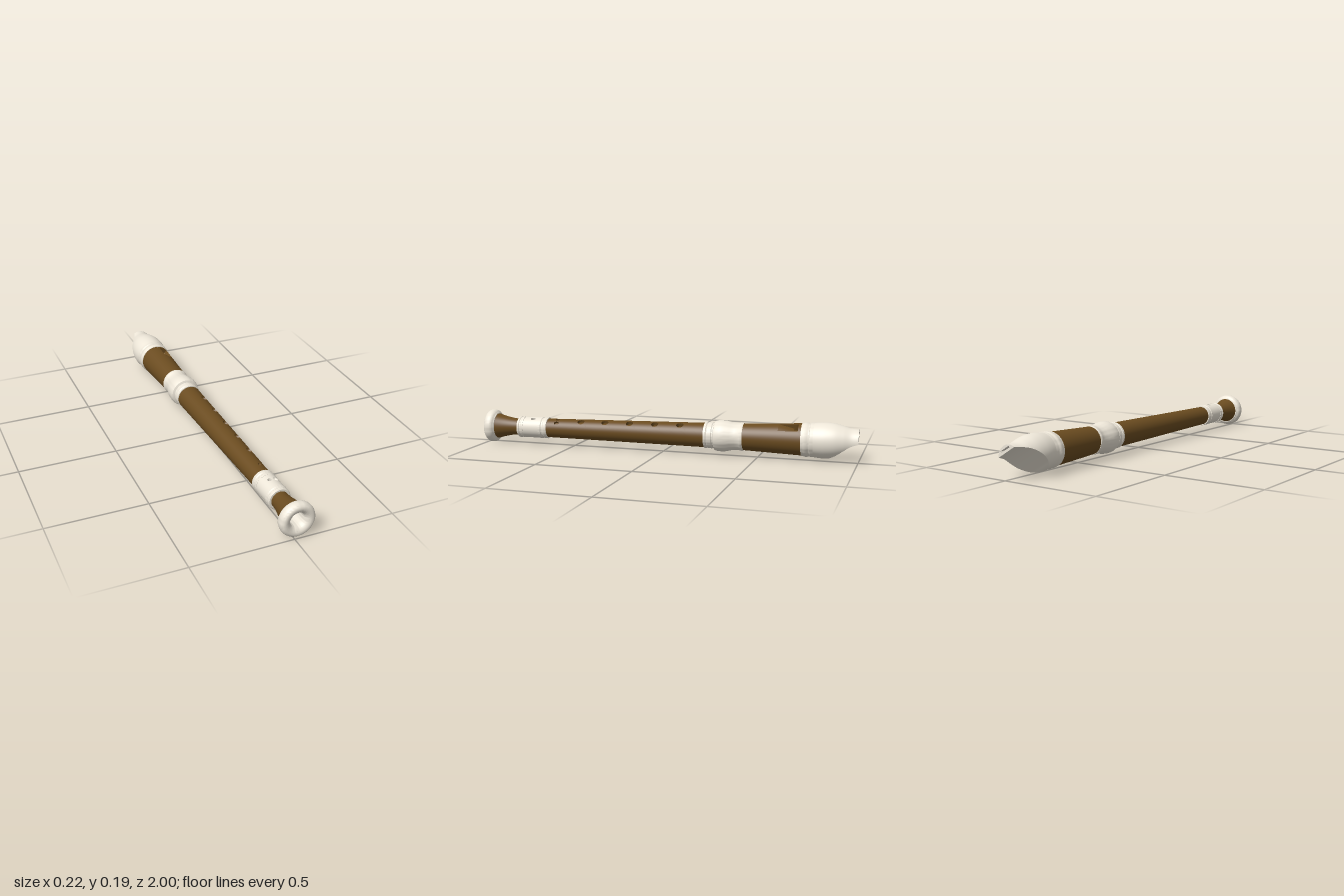
import * as THREE from 'three';
import { toCreasedNormals } from 'three/addons/utils/BufferGeometryUtils.js';
import { ParametricGeometry } from 'three/addons/geometries/ParametricGeometry.js';

const wood = new THREE.MeshStandardMaterial({ color: 0x6b4c20 });
const ivory = new THREE.MeshStandardMaterial({ color: 0xede6d8 });
const twoSided = (m) => { const c = m.clone(); c.side = THREE.DoubleSide; return c; };
const woodThin = twoSided(wood), ivoryThin = twoSided(ivory);
const lerp = THREE.MathUtils.lerp;

function add(parent, name, geometry, material) {
  const mesh = new THREE.Mesh(geometry, material);
  mesh.name = name;
  parent.add(mesh);
  return mesh;
}

// Turned part from [z, radius] pairs along the instrument's axis
function turned(profile, start = 0, length = Math.PI * 2) {
  const g = new THREE.LatheGeometry(profile.map(([z, r]) => new THREE.Vector2(r, z)), 64, start, length);
  return g.rotateX(Math.PI / 2);
}
const creased = (profile) => toCreasedNormals(turned(profile), 0.6);

// Point at angle a from the top (towards +x), radius r
const polar = (target, a, r, z) => target.set(r * Math.sin(a), r * Math.cos(a), z);

// Tapered pipe with real holes along its top. Each row: { z, h, holes: [{ w, l, square }] }
function pipe(parent, name, material, thin, [z0, r0], [z1, r1], bore, rows) {
  const group = new THREE.Group();
  group.name = name;
  parent.add(group);
  const half = 0.6;
  const radius = (z) => lerp(r0, r1, (z - z0) / (z1 - z0));
  add(group, name + 'Wall', turned([[z0, r0], [z1, r1]], Math.PI + half, 2 * (Math.PI - half)), material);

  const strip = (a, b) => add(group, name + 'Strip', new ParametricGeometry((u, v, p) => {
    const z = lerp(a, b, u);
    polar(p, lerp(-half, half, v), radius(z), z);
  }, 2, 16), material);

  let from = z0;
  for (const { z, h, holes } of rows) {
    strip(from, z - h);
    from = z + h;
    const cell = half / holes.length;
    holes.forEach(({ w, l, square }, i) => {
      const mid = -half + cell * (2 * i + 1);
      // Blend from the hole's edge (s = 0) to the rectangular cell border (s = 1)
      const at = (s, v) => {
        const t = -v * Math.PI * 2, c = Math.cos(t), d = Math.sin(t);
        const k = 1 / Math.max(Math.abs(c), Math.abs(d)), e = square ? k : 1;
        return [mid + c * lerp(e * w / radius(z), k * cell, s), z + d * lerp(e * l, k * h, s)];
      };
      add(group, 'holeSurround', new ParametricGeometry((u, v, p) => {
        const [a, q] = at(u, v);
        polar(p, a, radius(q), q);
      }, 4, 40), material);
      add(group, 'holeWall', new ParametricGeometry((u, v, p) => {
        const [a, q] = at(0, v);
        polar(p, a, lerp(radius(q), bore, u), q);
      }, 2, 40), thin);
    });
  }
  strip(from, z1);
  return radius;
}

function buildBeak(parent) {
  const beak = new THREE.Group();
  beak.name = 'beak';
  parent.add(beak);
  // Stations: radius, height of the cut underneath, z
  const path = new THREE.CatmullRomCurve3([
    [0.086, -0.086, -0.78], [0.0895, -0.0895, -0.815], [0.09, -0.064, -0.845], [0.086, -0.03, -0.885],
    [0.076, 0, -0.925], [0.065, 0.02, -0.963], [0.062, 0.03, -1],
  ].map((s) => new THREE.Vector3(...s)));
  const station = (t) => {
    const { x: r, y: cut, z } = path.getPoint(t);
    return { r, z, a: Math.acos(THREE.MathUtils.clamp(cut / r, -0.9999, 1)) };
  };
  add(beak, 'beakTop', new ParametricGeometry((u, v, p) => {
    const { r, z, a } = station(v);
    polar(p, lerp(-a, a, u), r, z);
  }, 56, 40), ivory);
  add(beak, 'beakCut', new ParametricGeometry((u, v, p) => {
    const { r, z, a } = station(u);
    p.set(lerp(-1, 1, v) * r * Math.sin(a), r * Math.cos(a), z);
  }, 40, 8), ivory);

  // Tip with the windway slot
  const { r, a } = station(1);
  const tip = new THREE.Shape();
  tip.absarc(0, 0, r, Math.PI / 2 - a, Math.PI / 2 + a, false);
  tip.closePath();
  const slot = new THREE.Path();
  slot.moveTo(-0.028, 0.041).lineTo(-0.028, 0.049).lineTo(0.028, 0.049).lineTo(0.028, 0.041).closePath();
  tip.holes.push(slot);
  add(beak, 'beakTip', new THREE.ShapeGeometry(tip, 24).rotateY(Math.PI).translate(0, 0, -1), ivory);
  const inside = ivory.clone();
  inside.side = THREE.BackSide;
  add(beak, 'windway', new THREE.BoxGeometry(0.056, 0.008, 0.06), inside).position.set(0, 0.045, -0.97);
}

export function createModel() {
  const model = new THREE.Group();
  model.name = 'recorder';
  // The axis lies slightly askew
  const axis = new THREE.Group();
  axis.name = 'instrument';
  axis.position.set(-0.004, 0.0957, 0);
  axis.rotation.set(0.0072, 0.024, 0);
  model.add(axis);

  // Head and body are rolled towards +x, the foot less so
  const upper = new THREE.Group(), foot = new THREE.Group();
  upper.name = 'headAndBody';
  foot.name = 'foot';
  upper.rotation.z = -0.56;
  foot.rotation.z = -0.15;
  axis.add(upper, foot);

  // Head: beak, collar, window with sloping lip
  buildBeak(upper);
  add(upper, 'headCollar', creased([
    [-0.785, 0.07], [-0.785, 0.086], [-0.765, 0.087], [-0.761, 0.083], [-0.755, 0.083], [-0.75, 0.086],
    [-0.735, 0.086], [-0.73, 0.083], [-0.72, 0.083], [-0.72, 0.07],
  ]), ivory);
  const headRadius = pipe(upper, 'head', wood, woodThin, [-0.725, 0.081], [-0.42, 0.068], 0.045,
    [{ z: -0.655, h: 0.06, holes: [{ w: 0.026, l: 0.05, square: true }] }]);
  add(upper, 'windowLip', new ParametricGeometry((u, v, p) => {
    const z = lerp(-0.605, -0.682, u), w = 0.026 / headRadius(-0.655);
    polar(p, lerp(-w, w, v), lerp(headRadius(z), 0.056, u), z);
  }, 4, 8), woodThin);
  add(upper, 'block', new THREE.CircleGeometry(0.06, 48), ivory).position.z = -0.7;

  // Middle joint
  add(upper, 'middleJoint', creased([
    [-0.425, 0.06], [-0.425, 0.07], [-0.42, 0.072], [-0.41, 0.072], [-0.405, 0.069], [-0.385, 0.069],
    [-0.36, 0.072], [-0.335, 0.0785], [-0.31, 0.08], [-0.29, 0.079], [-0.278, 0.075], [-0.273, 0.064],
    [-0.267, 0.064], [-0.263, 0.067], [-0.242, 0.067], [-0.238, 0.064], [-0.234, 0.067], [-0.223, 0.067],
    [-0.223, 0.05],
  ]), ivory);

  // Body with five single finger holes and one double
  const rows = [-0.095, 0.04, 0.178, 0.315, 0.45].map((z) => ({ z, h: 0.035, holes: [{ w: 0.017, l: 0.019 }] }));
  rows.push({ z: 0.588, h: 0.03, holes: [{ w: 0.009, l: 0.011 }, { w: 0.011, l: 0.014 }] });
  pipe(upper, 'body', wood, woodThin, [-0.23, 0.063], [0.65, 0.05], 0.04, rows);

  // Foot: ferrule with a double hole, flared neck and bell
  add(foot, 'ferruleUpperRing', creased([
    [0.645, 0.04], [0.645, 0.055], [0.65, 0.057], [0.662, 0.057], [0.666, 0.054], [0.674, 0.054],
    [0.678, 0.057], [0.69, 0.057], [0.69, 0.04],
  ]), ivory);
  pipe(foot, 'ferrule', ivory, ivoryThin, [0.688, 0.056], [0.782, 0.055], 0.037,
    [{ z: 0.727, h: 0.03, holes: [{ w: 0.009, l: 0.011 }, { w: 0.011, l: 0.014 }] }]);
  add(foot, 'ferruleLowerRing', creased([
    [0.78, 0.04], [0.78, 0.057], [0.79, 0.057], [0.794, 0.054], [0.8, 0.054], [0.804, 0.057],
    [0.812, 0.056], [0.816, 0.052], [0.816, 0.038],
  ]), ivory);
  add(foot, 'neck', turned([
    [0.81, 0.043], [0.835, 0.044], [0.86, 0.047], [0.89, 0.053], [0.92, 0.06], [0.945, 0.068],
  ]), wood);
  add(foot, 'bell', creased([
    [0.942, 0.05], [0.942, 0.072], [0.946, 0.074], [0.95, 0.08], [0.955, 0.0845], [0.963, 0.087],
    [0.972, 0.0878], [0.981, 0.087], [0.99, 0.0835], [0.997, 0.077], [1, 0.069], [0.999, 0.058],
    [0.995, 0.05], [0.988, 0.042], [0.978, 0.0365], [0.96, 0.035], [0.86, 0.035],
  ]), ivory);

  // Bore, facing inward
  add(axis, 'bore', turned([[0.865, 0.035], [0.65, 0.037], [-0.22, 0.042], [-0.705, 0.046]]), wood.clone())
    .material.side = THREE.BackSide;
  return model;
}
